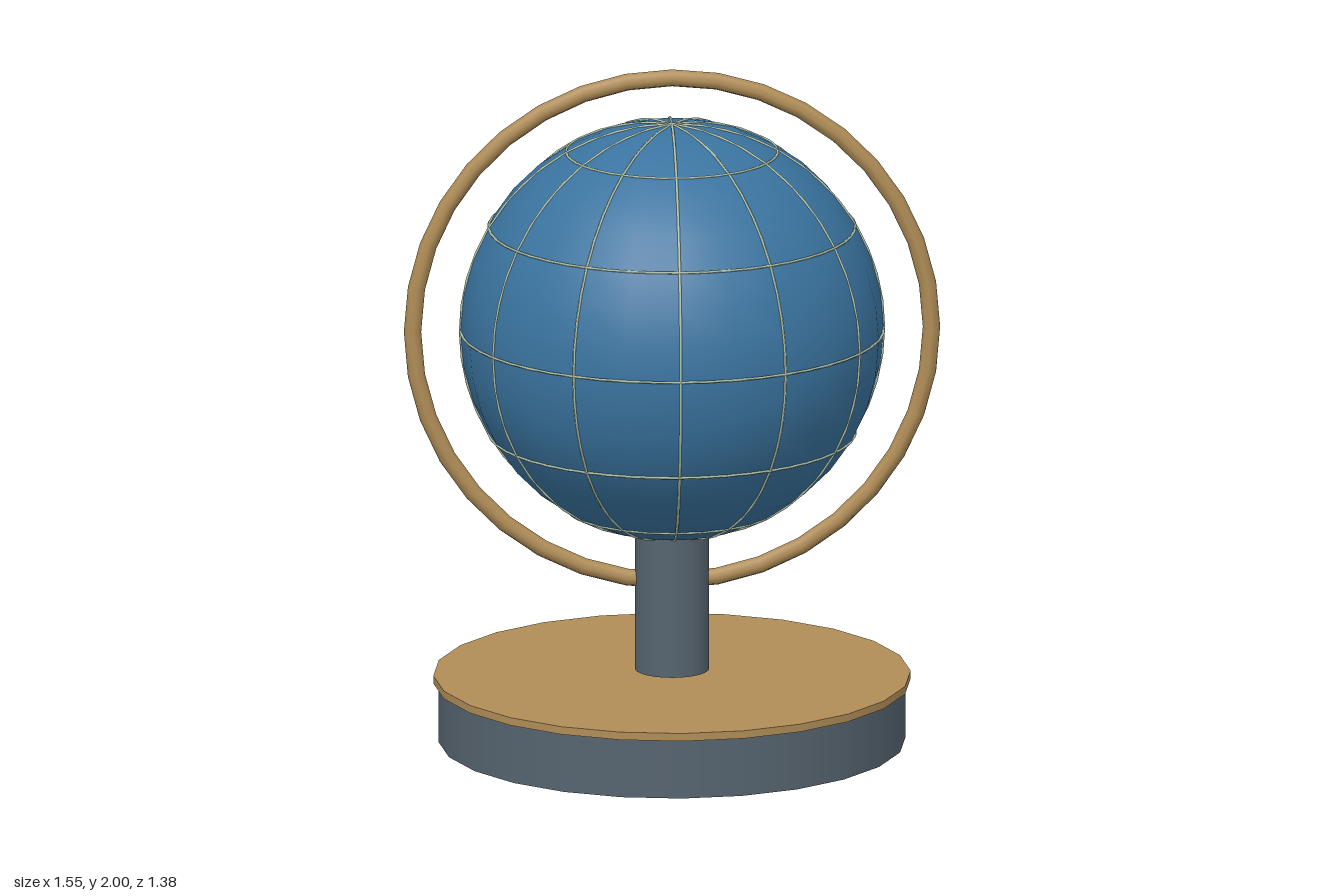
import * as THREE from 'three';

const material = (name, color) => {
  const m = new THREE.MeshStandardMaterial({ color });
  m.name = name;
  return m;
};

export function createModel() {
  const model = new THREE.Group();
  model.name = 'globeOnStand';

  const slate = material('slate grey', 0x56646f);
  const brass = material('brass', 0xb08d57);
  const ocean = material('ocean blue', 0x3a74a0);
  const pale = material('pale grid', 0xb0c4ac);

  const add = (name, geometry, mat, y = 0, parent = model) => {
    const mesh = new THREE.Mesh(geometry, mat);
    mesh.name = name;
    mesh.position.y = y;
    parent.add(mesh);
    return mesh;
  };
  const disc = (name, radius, bottom, top, mat) =>
    add(name, new THREE.CylinderGeometry(radius, radius, top - bottom, 24), mat, (bottom + top) / 2);

  // Stand: drum, brass cover plate and a post floating just above it
  disc('base', 0.675, 0, 0.177, slate);
  disc('basePlate', 0.69, 0.175, 0.198, brass);
  disc('post', 0.107, 0.212, 0.64, slate);

  // Globe and the upright ring around it
  const centerY = 1.225;
  const radius = 0.612;
  add('globe', new THREE.SphereGeometry(radius, 24, 18), ocean, centerY);
  add('meridianRing', new THREE.TorusGeometry(0.75, 0.025, 8, 36), brass, centerY);

  // Grid lines: six full meridian circles and five parallels
  const grid = new THREE.Group();
  grid.name = 'gridLines';
  grid.position.y = centerY;
  model.add(grid);
  const wire = 0.004;
  for (let i = 0; i < 6; i++) {
    const line = add('meridian', new THREE.TorusGeometry(radius, wire, 5, 48), pale, 0, grid);
    line.rotation.y = (i * Math.PI) / 6;
  }
  for (let i = -2; i <= 2; i++) {
    const latitude = (i * Math.PI) / 6;
    const line = add('parallel', new THREE.TorusGeometry(radius * Math.cos(latitude), wire, 5, 48),
      pale, radius * Math.sin(latitude), grid);
    line.rotation.x = Math.PI / 2;
  }

  return model;
}
